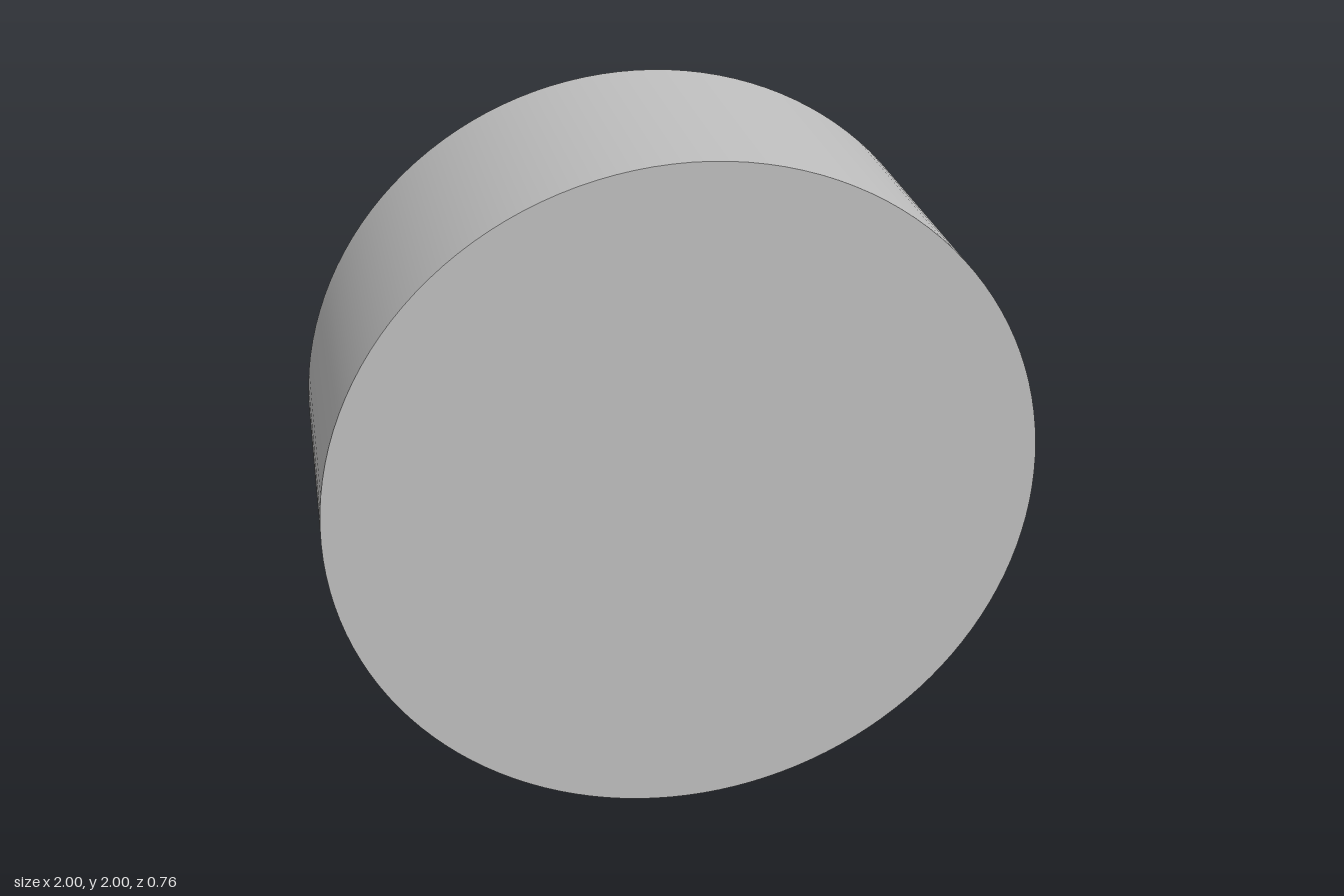
import * as THREE from 'three';
import { toCreasedNormals } from 'three/addons/utils/BufferGeometryUtils.js';

const HALF = 0.38;   // half of the cap's depth
const FLOOR = 0;     // depth where the recesses end
const OUTER = [1, 0.963];   // outer wall radii
const INNER = [0.795, 0.76]; // inner ring radii

export function createModel() {
  const group = new THREE.Group();
  group.name = 'cap';
  const grey = new THREE.MeshStandardMaterial({ color: 0xc0c0c0 });
  grey.name = 'grey';

  // Turned part about the z axis; profile points are [radius, distance toward the back]
  const turn = (name, profile) => {
    const points = profile.map(([r, d]) => new THREE.Vector2(r, d));
    const geometry = toCreasedNormals(new THREE.LatheGeometry(points, 128), Math.PI / 6);
    geometry.rotateX(-Math.PI / 2);
    const mesh = new THREE.Mesh(geometry, grey);
    mesh.name = name;
    mesh.position.y = 1;
    group.add(mesh);
  };

  // Solid front with the outer wall
  turn('frontAndOuterWall', [[0, -HALF], [OUTER[0], -HALF], [OUTER[0], HALF], [OUTER[1], HALF], [OUTER[1], FLOOR]]);
  // Floor of the groove between wall and ring
  turn('grooveFloor', [[OUTER[1], FLOOR], [INNER[0], FLOOR]]);
  // Raised inner ring, flush with the outer wall
  turn('innerRing', [[INNER[0], FLOOR], [INNER[0], HALF], [INNER[1], HALF], [INNER[1], FLOOR]]);
  // Floor inside the ring
  turn('centreFloor', [[INNER[1], FLOOR], [0, FLOOR]]);

  return group;
}
